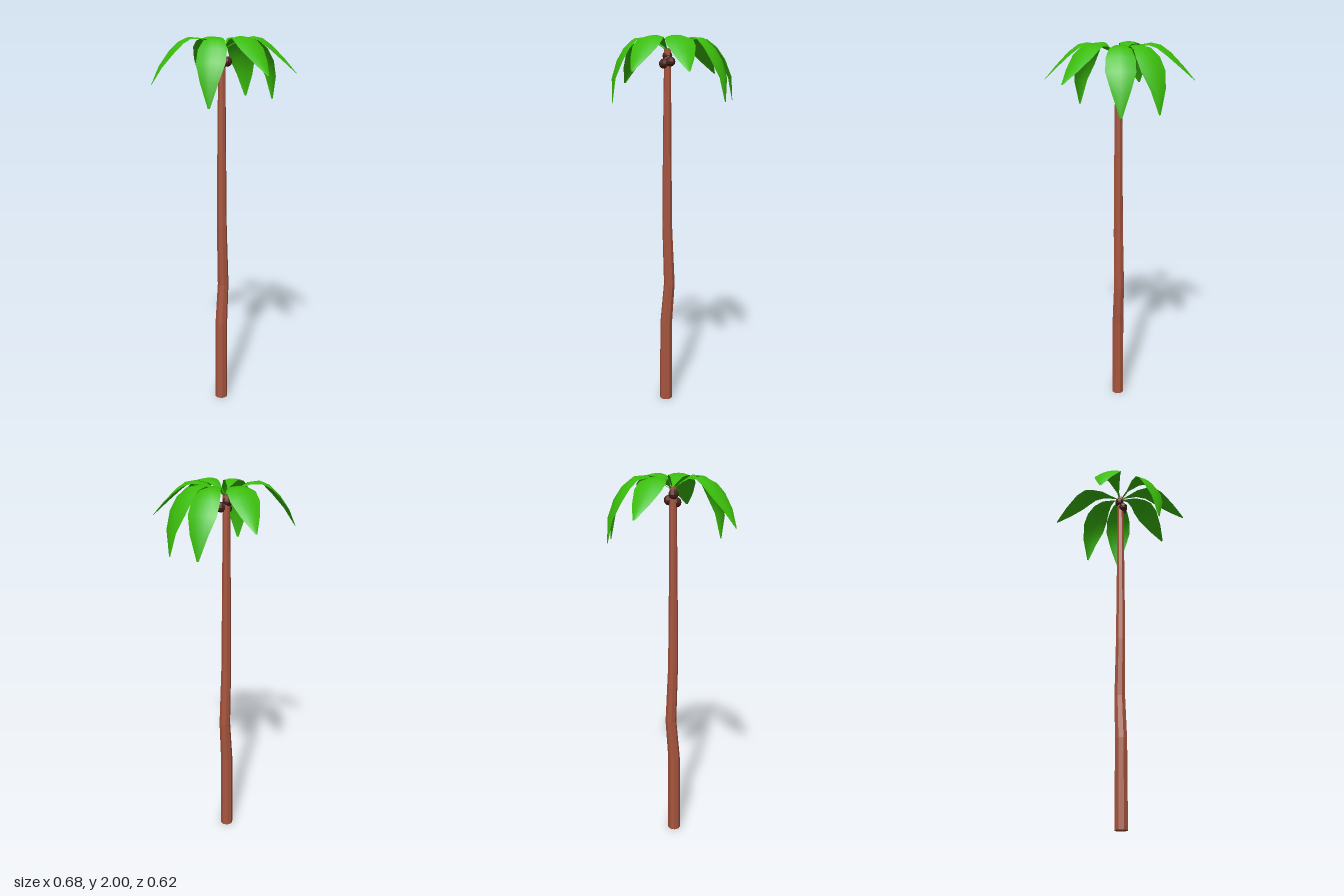
import * as THREE from 'three';

const BARK = new THREE.MeshStandardMaterial({ color: 0xa8563f, flatShading: true });
const NUT = new THREE.MeshStandardMaterial({ color: 0x4a2018, flatShading: true });
const LEAF = new THREE.MeshStandardMaterial({ color: 0x3bbd0c, side: THREE.DoubleSide });
const CROWN = { x: -0.016, z: 0.018 };

// Trunk rings from the top down: height, z of the centre, radius
function createTrunk() {
  const rings = [
    [1.94, 0.022, 0.018], [1.45, 0.025, 0.023], [1.0, 0.025, 0.027],
    [0.68, 0.014, 0.030], [0.45, 0.032, 0.033], [0, 0.034, 0.035],
  ];
  const geo = new THREE.CylinderGeometry(1, 1, 1, 8, rings.length - 1);
  const pos = geo.attributes.position;
  for (let i = 0; i < pos.count; i++) {
    const ring = Math.round((0.5 - pos.getY(i)) * (rings.length - 1));
    const [y, z, r] = rings[ring];
    pos.setXYZ(i, CROWN.x + pos.getX(i) * r, y, z + pos.getZ(i) * r);
  }
  geo.computeVertexNormals();
  const trunk = new THREE.Mesh(geo, BARK);
  trunk.name = 'trunk';
  return trunk;
}

// Frond spine as [reach, height], spreading or drooping, with the width at each row
const SPREAD = [[0, 1.925], [0.03, 1.948], [0.1, 1.988], [0.16, 1.999], [0.205, 1.99], [0.255, 1.955], [0.32, 1.89], [0.382, 1.82]];
const DROOP = [[0, 1.925], [0.06, 1.965], [0.13, 1.995], [0.19, 1.988], [0.24, 1.945], [0.28, 1.88], [0.31, 1.79], [0.312, 1.665]];
const WIDTH = [0.008, 0.012, 0.065, 0.108, 0.142, 0.145, 0.092, 0.01];
const ACROSS = 4;

// Slightly arched strip swept along the spine to the tip; droop blends the two spines
function createFrond(tipX, tipZ, droop) {
  const toTip = new THREE.Vector2(tipX - CROWN.x, tipZ - CROWN.z);
  const spine = SPREAD.map((p, i) => new THREE.Vector2(...p).lerp(new THREE.Vector2(...DROOP[i]), droop));
  const last = spine.length - 1;
  const stretch = toTip.length() / spine[last].x;
  spine.forEach((p) => { p.x *= stretch; });
  const { x: dx, y: dz } = toTip.normalize();
  const verts = [], index = [];
  spine.forEach((p, i) => {
    const t = spine[Math.min(i + 1, last)].clone().sub(spine[Math.max(i - 1, 0)]).normalize();
    for (let j = 0; j <= ACROSS; j++) {
      const u = (j / ACROSS) * 2 - 1;
      const side = u * WIDTH[i] / 2;
      const sag = -0.1 * WIDTH[i] * u * u; // edges hang below the midrib
      const reach = p.x - t.y * sag;
      verts.push(CROWN.x + dx * reach - dz * side, p.y + t.x * sag, CROWN.z + dz * reach + dx * side);
      if (i < last && j < ACROSS) {
        const k = i * (ACROSS + 1) + j, n = k + ACROSS + 1;
        index.push(k, k + 1, n, k + 1, n + 1, n);
      }
    }
  });
  const geo = new THREE.BufferGeometry();
  geo.setAttribute('position', new THREE.Float32BufferAttribute(verts, 3));
  geo.setIndex(index);
  geo.computeVertexNormals();
  const frond = new THREE.Mesh(geo, LEAF);
  frond.name = 'frond';
  return frond;
}

export function createModel() {
  const palm = new THREE.Group();
  palm.name = 'palmTree';
  palm.add(createTrunk());

  // Fronds: tip x, tip z, droop
  const fronds = new THREE.Group();
  fronds.name = 'fronds';
  [
    [0.34, 0.135, 0], [0.33, -0.138, 0], [0.09, -0.29, 0.95], [-0.1, -0.31, 0.9],
    [-0.342, -0.19, 0], [-0.245, 0.303, 0.35], [0.107, 0.29, 1],
  ].forEach((f) => fronds.add(createFrond(...f)));
  palm.add(fronds);

  // Coconuts clustered under the crown
  const coconuts = new THREE.Group();
  coconuts.name = 'coconuts';
  [[0.004, 1.875, 0.004], [-0.006, 1.865, 0.04], [-0.022, 1.905, 0.024]].forEach((p) => {
    const nut = new THREE.Mesh(new THREE.SphereGeometry(0.026, 8, 6), NUT);
    nut.name = 'coconut';
    nut.position.set(...p);
    coconuts.add(nut);
  });
  palm.add(coconuts);
  return palm;
}
